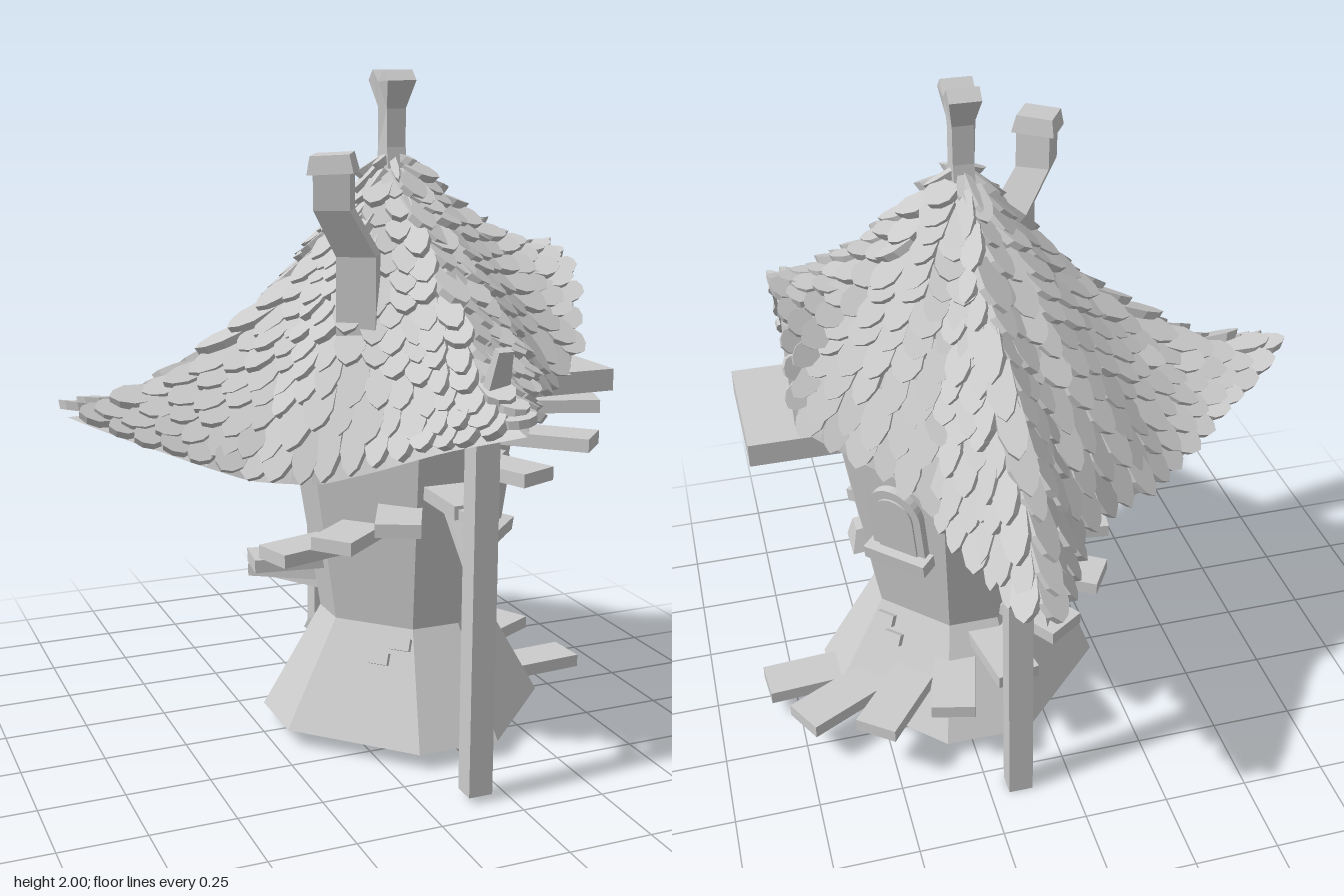
import * as THREE from 'three';
import { mergeGeometries } from 'three/addons/utils/BufferGeometryUtils.js';
import { ParametricGeometry } from 'three/addons/geometries/ParametricGeometry.js';

const mat = new THREE.MeshStandardMaterial({ color: 0xcccccc, flatShading: true });
const thin = new THREE.MeshStandardMaterial({ color: 0xcccccc, flatShading: true, side: THREE.DoubleSide });
const V = (x, y, z) => new THREE.Vector3(x, y, z);
let seed = 7;
const rand = () => (seed = (seed * 16807) % 2147483647) / 2147483647;

function add(parent, name, geometry, x = 0, y = 0, z = 0, material = mat) {
  const m = new THREE.Mesh(geometry, material);
  m.name = name;
  m.position.set(x, y, z);
  parent.add(m);
  return m;
}
const box = (w, h, d) => new THREE.BoxGeometry(w, h, d);

// Square beam between two points
function beam(parent, name, a, b, w, d) {
  const m = add(parent, name, box(w, d, a.distanceTo(b)));
  m.position.copy(a).lerp(b, 0.5);
  m.lookAt(b);
}

// Shell through rings, bottom to top, each counter-clockwise from above; open below, closed on top
function loft(rings) {
  const p = [], n = rings[0].length, tri = (...v) => v.forEach(q => p.push(q.x, q.y, q.z));
  for (let i = 0; i + 1 < rings.length; i++) {
    for (let j = 0; j < n; j++) {
      const k = (j + 1) % n, a = rings[i], b = rings[i + 1];
      tri(a[j], a[k], b[k]);
      tri(a[j], b[k], b[j]);
    }
  }
  const top = rings[rings.length - 1];
  for (let j = 1; j + 1 < n; j++) tri(top[0], top[j], top[j + 1]);
  const g = new THREE.BufferGeometry();
  g.setAttribute('position', new THREE.Float32BufferAttribute(p, 3));
  g.computeVertexNormals();
  return g;
}

// Round-topped panel standing on y = 0
function arch(w, h, depth) {
  const r = w / 2, s = new THREE.Shape();
  s.moveTo(-r, 0).lineTo(r, 0).lineTo(r, h - r).absarc(0, h - r, r, 0, Math.PI, false).lineTo(-r, 0);
  return new THREE.ExtrudeGeometry(s, { depth, bevelEnabled: false, curveSegments: 8 });
}

// Tower: octagon with narrow and wide sides, pinched at the neck
const CX = 0.21, CZ = 0.01;
const OCT = [[.25, .065], [.25, -.065], [.075, -.245], [-.075, -.245], [-.25, -.065], [-.25, .065], [-.075, .245], [.075, .245]];
const wallScale = y => y < 0.37 ? 1.7 - 0.7 * (y - 0.05) / 0.32 : 1 + 0.42 * (y - 0.37) / 0.68;

// Group lying on one of the wide wall faces
function onWall(parent, name, sx, sz, u, y) {
  const g = new THREE.Group(), s = wallScale(y);
  g.name = name;
  g.position.set(CX + sx * 0.163 * s, y, CZ + sz * 0.155 * s);
  g.rotation.set(y < 0.37 ? -0.46 : 0.138, Math.atan2(sx, sz), 0, 'YXZ');
  g.translateX(u);
  parent.add(g);
  return g;
}

// Roof eave by angle: [degrees from +x towards +z, radius, height, profile power: below 1 bulges, above 1 sags]
const EAVE = [[-21, .57, 1.16, .9], [-14, .55, 1.35, 1.4], [-7, .53, 1.43, 1.8], [3, .53, 1.45, 1.9], [13, .54, 1.43, 1.8],
  [20, .56, 1.35, 1.4], [27, .55, 1.16, .9], [36, .47, 1.08, .7], [48, .46, 1.07, .7], [59, .47, 1.14, .8], [70, .54, 1.17, .95],
  [80, .66, 1.1, 1.1], [90, .87, 1.11, 1.45], [100, .66, 1.03, 1.1], [115, .53, .95, .8], [135, .5, .89, .6], [155, .58, .89, .9], [168, .76, .97, 1.4],
  [180, .98, 1.06, 2], [192, .76, .97, 1.4], [210, .6, .88, .9], [235, .52, .88, .65], [255, .56, .88, .75], [263, .69, .87, .85],
  [270, .86, .87, .97], [277, .65, .88, .85], [290, .48, .95, .7], [310, .45, 1.04, .65], [325, .48, 1.08, .7], [339, .57, 1.16, .9]];
const RX = 0.16, APEX = 1.76;
function roof(deg, t) {
  const a = ((deg + 21) % 360 + 360) % 360 - 21;
  let i = 0;
  while (i < EAVE.length - 2 && EAVE[i + 1][0] < a) i++;
  const A = EAVE[i], B = EAVE[i + 1], k = (a - A[0]) / (B[0] - A[0]);
  const [R, y, p] = [1, 2, 3].map(c => A[c] + (B[c] - A[c]) * k);
  const q = a * Math.PI / 180, fall = t < 1 ? Math.pow(1 - t, p) : (1 - t) * 0.5;
  return V(RX + Math.cos(q) * R * t, y + (APEX - y) * fall, Math.sin(q) * R * t + 0.015 * (1 - t));
}

function shingles() {
  const s = new THREE.Shape([[-.44, 0], [.44, 0], [.5, .58], [.3, .86], [0, 1], [-.3, .86], [-.5, .58]].map(p => new THREE.Vector2(...p)));
  const unit = new THREE.ExtrudeGeometry(s, { depth: 1, bevelEnabled: false });
  const parts = [], ROWS = 13;
  for (let row = 0; row < ROWS; row++) {
    const t = (row + 0.4) / ROWS;
    let length = 0, prev = roof(0, t);
    for (let a = 1; a <= 360; a++) { const q = roof(a, t); length += q.distanceTo(prev); prev = q; }
    const step = length / Math.max(9, Math.round(length / 0.075));
    let run = row % 2 ? step / 2 : 0;
    prev = roof(0, t);
    for (let a = 0.5; a <= 360; a += 0.5) {
      const q = roof(a, t);
      run += q.distanceTo(prev);
      prev = q;
      if (run < step) continue;
      run -= step;
      const top = roof(a, Math.max(0.01, t - 0.5 / ROWS));
      const tip = roof(a, Math.min(1.025, t + (0.95 + 0.45 * rand()) / ROWS));
      const side = roof(a + 2, t).sub(roof(a - 2, t));
      const dir = tip.clone().sub(top), unitDir = dir.clone().normalize();
      side.addScaledVector(unitDir, -side.dot(unitDir)).normalize();
      const up = side.clone().cross(unitDir);
      dir.addScaledVector(up, 0.018 + 0.026 * rand());
      const w = Math.min(0.088, step * 1.12) * (0.8 + 0.3 * rand());
      const m = new THREE.Matrix4().makeBasis(side.multiplyScalar(w), dir, up.clone().multiplyScalar(0.026));
      m.setPosition(top.addScaledVector(up, -0.009));
      parts.push(unit.clone().applyMatrix4(m));
    }
  }
  return mergeGeometries(parts);
}

export function createModel() {
  const g = new THREE.Group();
  g.name = 'thatchedTower';

  const ring = y => OCT.map(([x, z]) => V(CX + x * wallScale(y), y, CZ + z * wallScale(y)));
  add(g, 'towerWall', loft([0.05, 0.37, 1.08].map(ring)), 0, 0, 0, thin);

  // Roof skin and shingles
  const skin = new ParametricGeometry((u, v, out) => out.copy(roof(u * 360, v)).add(V(0, -0.012, 0)), 120, 14);
  add(g, 'roofSkin', skin, 0, 0, 0, thin);
  add(g, 'roofShingles', shingles());

  // Forked finial, flaring towards the top
  const fork = new THREE.Shape([[-.05, 1.68], [.05, 1.68], [.032, 1.78], [.03, 1.89], [.07, 1.97], [.04, 2], [0, 1.965],
    [-.04, 2], [-.07, 1.97], [-.03, 1.89], [-.032, 1.78]].map(p => new THREE.Vector2(...p)));
  const forkSolid = new THREE.ExtrudeGeometry(fork, { depth: 1, bevelEnabled: false }).translate(0, 0, -0.5);
  const fp = forkSolid.attributes.position;
  for (let i = 0; i < fp.count; i++) fp.setZ(i, fp.getZ(i) * (fp.getY(i) > 1.95 ? 0.09 : 0.06));
  forkSolid.computeVertexNormals();
  add(g, 'finial', forkSolid, 0.16, 0, 0.018).rotation.y = Math.PI / 2;

  // Crooked chimney with cap
  const square = (x, y, z, h) => [[h, h], [h, -h], [-h, -h], [-h, h]].map(([a, b]) =>
    V(x + a * 0.87 - b * 0.5, y, z + a * 0.5 + b * 0.87));
  add(g, 'chimney', loft([square(-.05, 1.1, .27, .055), square(-.05, 1.5, .27, .055), square(-.13, 1.63, .29, .05), square(-.135, 1.74, .3, .05)]));
  const cap = new THREE.CylinderGeometry(0.076, 0.09, 0.05, 4).rotateY(Math.PI / 4 - Math.PI / 6);
  add(g, 'chimneyCap', cap, -.138, 1.755, .3).rotation.z = 0.06;

  // Dormer with arched door and landing
  const dormer = new THREE.Group();
  dormer.name = 'dormer';
  dormer.position.set(0, 1.07, 0.025);
  g.add(dormer);
  add(dormer, 'dormerWall', arch(0.37, 0.36, 0.35), 0.3).rotation.y = Math.PI / 2;
  add(dormer, 'dormerDoor', arch(0.29, 0.34, 0.03), 0.64).rotation.y = Math.PI / 2;
  add(dormer, 'doorSill', box(0.12, 0.06, 0.4), 0.61, 0, 0);
  add(g, 'landing', box(0.43, 0.068, 0.41), 0.61, 1.07, 0.005);

  // Spiral stair of separate treads: [height, outer radius]
  const TREADS = [[.08, .63], [.135, .62], [.195, .57], [.255, .51], [.325, .48], [.397, .46], [.465, .48], [.54, .48],
    [.615, .5], [.68, .47], [.745, .48], [.81, .53], [.875, .53], [.94, .59], [1.005, .59]];
  TREADS.forEach(([y, r], i) => {
    const tread = add(g, 'stairTread', box(r - 0.2, 0.04, 0.13).translate((r + 0.2) / 2, 0, 0), CX, y, CZ);
    tread.rotation.y = (4 + 24 * i) * Math.PI / 180;
  });

  // Arched windows
  for (const sz of [1, -1]) {
    const w = onWall(g, 'window', 1, sz, 0, 0.64);
    add(w, 'windowFrame', arch(0.18, 0.25, 0.035), 0, 0, -0.01);
    add(w, 'windowPane', arch(0.13, 0.22, 0.035), 0, 0, -0.004);
    add(w, 'windowSill', box(0.21, 0.042, 0.09), 0, 0, 0.015);
  }
  const bracket = add(g, 'wallBracket', new THREE.CylinderGeometry(0.045, 0.08, 0.07, 4, 1).rotateY(Math.PI / 4), 0.485, 0.595, 0.01);
  bracket.rotation.z = -0.12;

  // Protruding bricks: [face x, face z, along, height]
  for (const [sx, sz, u, y] of [[1, 1, -.05, .48], [1, 1, -.02, .43], [-1, 1, .04, .28], [-1, 1, .1, .325],
    [1, -1, -.09, .325], [1, -1, -.05, .28], [-1, -1, 0, .32], [-1, -1, .06, .28], [-1, -1, .02, .45]]) {
    add(onWall(g, 'wallBrick', sx, sz, u, y), 'brick', box(0.06, 0.036, 0.04));
  }

  // Posts, tie beams and braces under the front and back roof peaks
  add(g, 'frontPost', box(0.072, 1.07, 0.068), 0.158, 0.555, 0.634);
  add(g, 'backPost', box(0.072, 0.92, 0.068), 0.158, 0.46, -0.566);
  beam(g, 'frontTieBeam', V(.158, .805, .2), V(.158, .805, .62), .04, .03);
  beam(g, 'frontBrace', V(.158, .64, .61), V(.158, .8, .45), .04, .025);
  beam(g, 'backTieBeam', V(.158, .87, -.22), V(.158, .95, -.56), .05, .04);

  // Ridge spikes
  const spike = () => new THREE.CylinderGeometry(0.03, 0.05, 0.17, 4).rotateY(Math.PI / 4).scale(1, 1, 0.6);
  add(g, 'frontRidgeSpike', spike(), .158, 1.22, .715).rotation.x = 0.35;
  add(g, 'backRidgeSpike', spike(), .158, 1.01, -.635).rotation.x = -0.6;
  return g;
}
